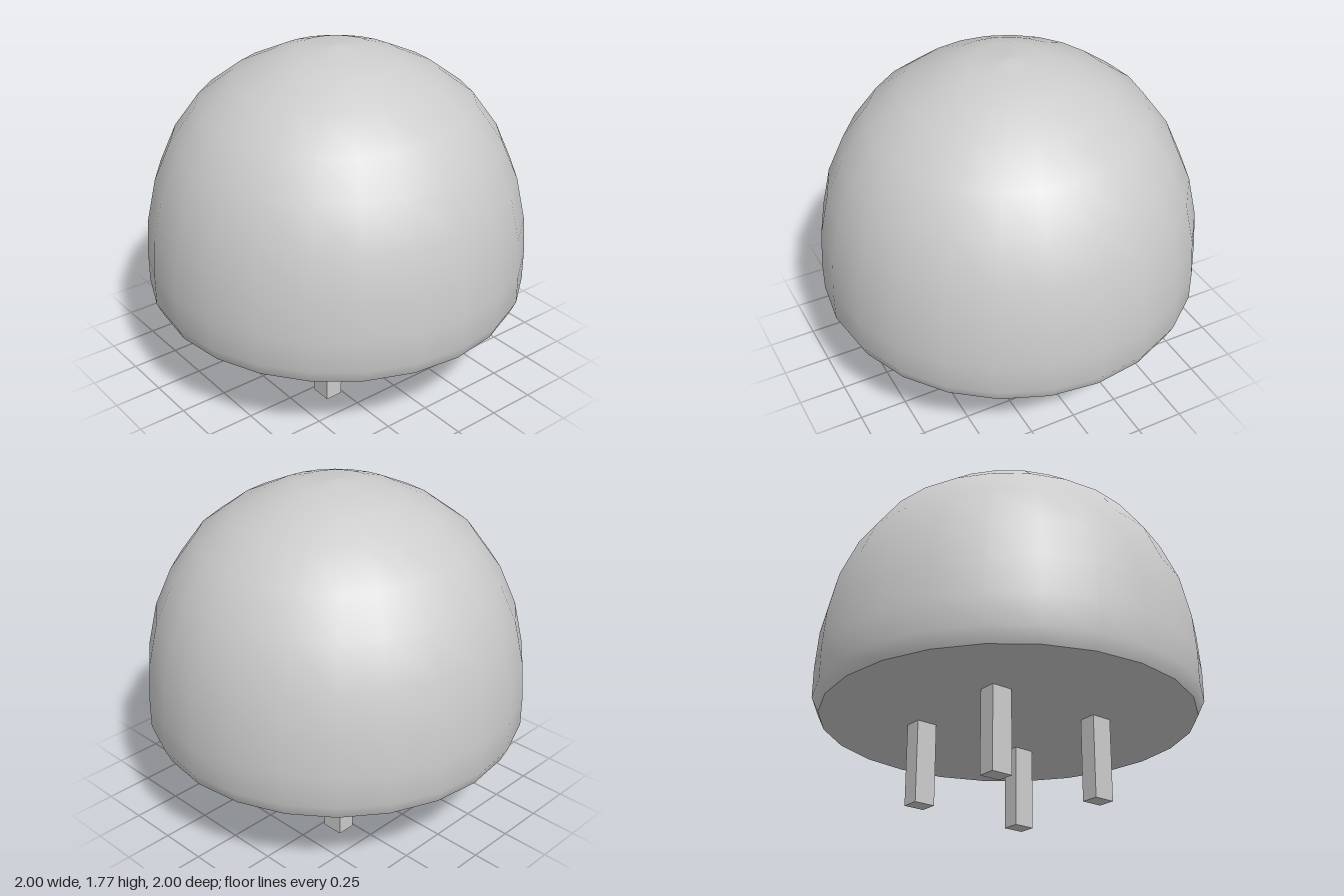
import * as THREE from 'three';

const SIDES = 24;
const BASE_Y = 0.43;
const BASE_RADIUS = 0.965;

export function createModel() {
  const model = new THREE.Group();
  const material = new THREE.MeshStandardMaterial({ color: 0xcccccc });

  function add(name, geometry, x, y, z) {
    const mesh = new THREE.Mesh(geometry, material);
    mesh.name = name;
    mesh.position.set(x, y, z);
    model.add(mesh);
    return mesh;
  }

  // Smooth rounded dome with a tucked-in lower rim
  const profile = [
    [BASE_RADIUS, BASE_Y], [1, 0.505], [1, 0.665], [0.985, 0.865],
    [0.935, 1.09], [0.845, 1.295], [0.71, 1.48], [0.53, 1.615],
    [0.34, 1.705], [0.2, 1.75], [0, 1.77],
  ].map(([r, y]) => new THREE.Vector2(r, y));
  add('dome', new THREE.LatheGeometry(profile, SIDES), 0, 0, 0);

  // Flat underside
  const underside = new THREE.CircleGeometry(BASE_RADIUS, SIDES).rotateX(Math.PI / 2);
  add('underside', underside, 0, BASE_Y, 0);

  // Four short square legs
  const leg = new THREE.BoxGeometry(0.114, BASE_Y, 0.094);
  for (const [side, sx] of [['Left', 1], ['Right', -1]]) {
    for (const [end, sz] of [['front', 1], ['back', -1]]) {
      add(`${end}${side}Leg`, leg, sx * 0.322, BASE_Y / 2, sz * 0.308);
    }
  }

  return model;
}
